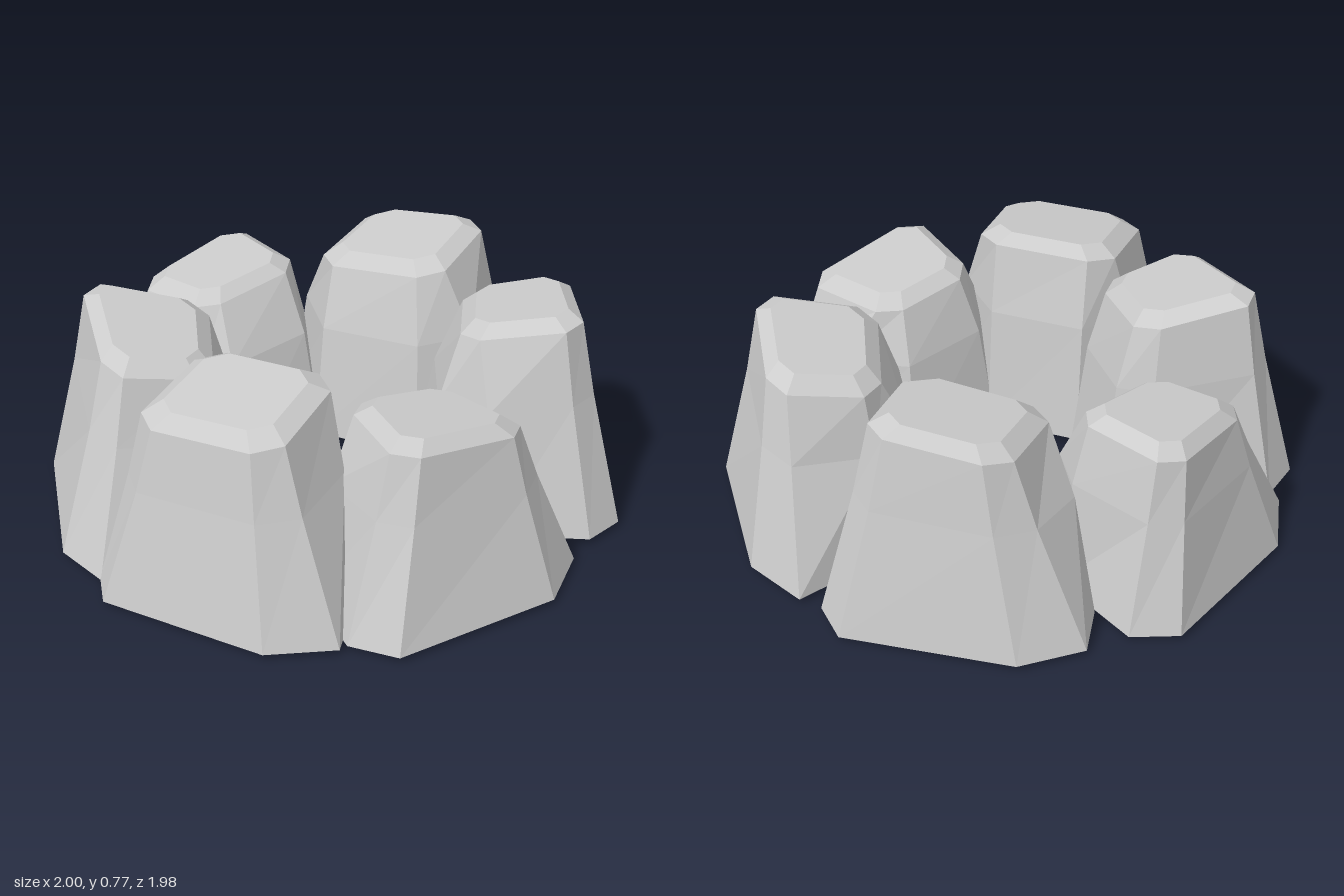
import * as THREE from 'three';

const material = new THREE.MeshStandardMaterial({ color: 0xcccccc, flatShading: true });

// Turn a four-cornered outline into eight points by cutting its corners
function cutCorners(quad, cut = 0.16) {
  const c = [0, 1, 2, 3].map(i => new THREE.Vector2(quad[2 * i], quad[2 * i + 1]));
  return c.flatMap((p, i) => [
    p.clone().lerp(c[(i + 3) % 4], cut),
    p.clone().lerp(c[(i + 1) % 4], cut),
  ]);
}

// Loft a boulder: eight-sided base, waist, rim and a smaller tilted top.
// Outlines are x, z pairs running clockwise from above, outer side first.
function boulder(name, base, rimQuad, height, slopeX, slopeZ) {
  const rim = cutCorners(rimQuad);
  const centre = rim.reduce((s, p) => s.add(p), new THREE.Vector2()).divideScalar(8);
  const foot = rim.map((_, i) => new THREE.Vector2(base[2 * i], base[2 * i + 1]));
  const footCentre = foot.reduce((s, p) => s.add(p), new THREE.Vector2()).divideScalar(8);
  const planeY = p => height + slopeX * (p.x - centre.x) + slopeZ * (p.y - centre.y);

  const rings = [
    foot.map(p => [p.x, 0.02, p.y]),
    // the waist flares more on the side facing the middle of the ring
    foot.map((p, i) => {
      const q = rim[i].clone().lerp(p, i < 4 ? 0.31 : 0.54);
      return [q.x, 0.62 * planeY(rim[i]), q.y];
    }),
    rim.map(p => [p.x, planeY(p) - 0.04, p.y]),
    rim.map(p => {
      const q = centre.clone().lerp(p, 0.76);
      return [q.x, planeY(q), q.y];
    }),
  ];

  const pos = rings.flat(2);
  const index = [];
  const topMid = 32, bottomMid = 33;
  pos.push(centre.x, height, centre.y, footCentre.x, 0, footCentre.y);
  for (let i = 0; i < 8; i++) {
    const j = (i + 1) % 8;
    for (let r = 0; r < 24; r += 8) {
      index.push(r + j, r + i, r + 8 + i, r + j, r + 8 + i, r + 8 + j);
    }
    index.push(topMid, 24 + j, 24 + i, bottomMid, i, j);
  }
  const indexed = new THREE.BufferGeometry();
  indexed.setAttribute('position', new THREE.Float32BufferAttribute(pos, 3));
  indexed.setIndex(index);
  const geometry = indexed.toNonIndexed();
  geometry.computeVertexNormals();
  const mesh = new THREE.Mesh(geometry, material);
  mesh.name = name;
  return mesh;
}

export function createModel() {
  const ring = new THREE.Group();
  ring.name = 'stoneRing';
  ring.add(
    boulder('backStone',
      [-0.53, -0.8, -0.34, -0.945, 0.25, -0.995, 0.36, -0.88, 0.4, -0.52, 0.2, -0.3, -0.22, -0.29, -0.5, -0.61],
      [-0.27, -0.84, 0.2, -0.86, 0.2, -0.42, -0.3, -0.42], 0.738, 0.1, -0.12),
    boulder('backLeftStone',
      [0.445, -0.865, 0.67, -0.76, 1, -0.27, 0.955, -0.12, 0.65, 0.02, 0.36, 0.01, 0.17, -0.3, 0.25, -0.56],
      [0.59, -0.68, 0.85, -0.22, 0.46, -0.07, 0.27, -0.5], 0.73, 0.2, 0.03),
    boulder('frontLeftStone',
      [0.95, 0.01, 0.985, 0.26, 0.685, 0.78, 0.51, 0.805, 0.27, 0.62, 0.17, 0.33, 0.36, 0, 0.72, -0.045],
      [0.85, 0.18, 0.6, 0.65, 0.27, 0.38, 0.47, 0.06], 0.64, -0.02, 0.13),
    boulder('frontStone',
      [0.5, 0.835, 0.3, 0.975, -0.3, 0.985, -0.385, 0.88, -0.34, 0.55, -0.16, 0.3, 0.19, 0.31, 0.42, 0.58],
      [0.28, 0.85, -0.24, 0.87, -0.23, 0.42, 0.27, 0.41], 0.73, 0.03, -0.14),
    boulder('frontRightStone',
      [-0.375, 0.89, -0.58, 0.82, -0.95, 0.37, -0.91, 0.2, -0.5, 0.04, -0.33, 0.04, -0.14, 0.3, -0.22, 0.62],
      [-0.45, 0.69, -0.83, 0.29, -0.44, 0.08, -0.19, 0.44], 0.718, -0.23, 0.0),
    boulder('backRightStone',
      [-0.95, 0.175, -1, -0.08, -0.8, -0.635, -0.64, -0.695, -0.34, -0.5, -0.2, -0.29, -0.33, 0.05, -0.45, 0.08],
      [-0.86, -0.09, -0.73, -0.58, -0.35, -0.41, -0.52, -0.02], 0.638, 0.06, -0.12),
  );
  return ring;
}
